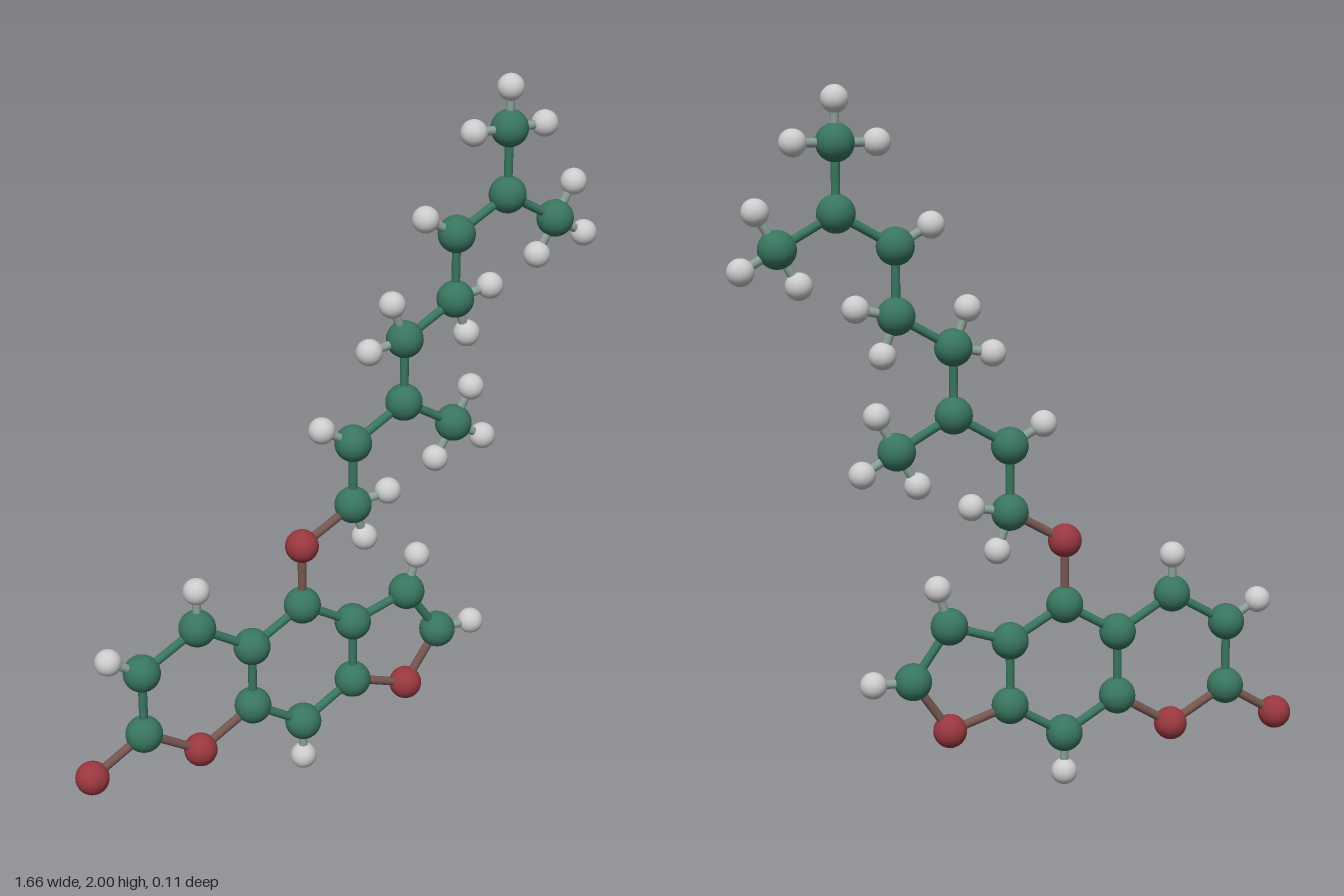
import * as THREE from 'three';

const paint = (color) => new THREE.MeshStandardMaterial({ color });
const KINDS = {
  carbon: { radius: 0.053, material: paint(0x38755f) },
  oxygen: { radius: 0.048, material: paint(0x99373f) },
  hydrogen: { radius: 0.038, material: paint(0xcccccc) },
};
const BONDS = {
  carbon: paint(0x38755f),
  oxygen: paint(0x75564f),
  hydrogen: paint(0x8a9f96),
};
const BOND_RADIUS = 0.0125;
const HYDROGEN_REACH = 0.115;

// Heavy atoms: x, y in the plane z = 0
const ATOMS = [
  [-0.624, 0.25], [-0.624, 0.443], [-0.452, 0.541], [-0.284, 0.441], [-0.284, 0.251], // 0-4 left ring
  [-0.452, 0.151], [-0.785, 0.153],                                                  // 5-6 oxygens
  [-0.122, 0.534], [0.042, 0.441], [0.042, 0.251], [-0.122, 0.154],                  // 7-10 middle ring
  [0.221, 0.497], [0.328, 0.346], [0.221, 0.193],                                    // 11-13 right ring
  [-0.122, 0.721], [0.042, 0.814], [0.042, 1.003], [0.205, 1.097], [0.369, 1.003],   // 14-18 lower chain
  [0.205, 1.286], [0.367, 1.378], [0.367, 1.568], [0.53, 1.659], [0.53, 1.848],      // 19-23 upper chain
  [0.692, 1.567],                                                                    // 24 end branch
];
const OXYGENS = [5, 6, 13, 14];

// Runs of bonded atoms
const PATHS = [
  [0, 1, 2, 3, 4, 5, 0, 6],
  [3, 7, 8, 9, 10, 4],
  [8, 11, 12, 13, 9],
  [7, 14, 15, 16, 17, 19, 20, 21, 22, 23],
  [17, 18],
  [22, 24],
];

// Hydrogens: carbon index -> directions in degrees
const HYDROGENS = {
  1: [149], 2: [90], 10: [-90], 11: [73], 12: [0],
  15: [10, -71], 16: [150], 18: [61, -31, 239],
  19: [111, 190], 20: [11, -70], 21: [151],
  23: [0, 90, 180], 24: [60, -30, 240],
};

export function createModel() {
  const model = new THREE.Group();
  model.name = 'molecule';
  const atoms = new THREE.Group();
  atoms.name = 'atoms';
  const bonds = new THREE.Group();
  bonds.name = 'bonds';
  model.add(atoms, bonds);

  const ball = new THREE.SphereGeometry(1, 32, 20);
  const rod = new THREE.CylinderGeometry(BOND_RADIUS, BOND_RADIUS, 1, 16);

  const addAtom = (kind, position) => {
    const mesh = new THREE.Mesh(ball, KINDS[kind].material);
    mesh.name = kind + 'Atom';
    mesh.position.copy(position);
    mesh.scale.setScalar(KINDS[kind].radius);
    atoms.add(mesh);
  };

  const addBond = (kind, from, to) => {
    const span = to.clone().sub(from);
    const mesh = new THREE.Mesh(rod, BONDS[kind]);
    mesh.name = kind + 'Bond';
    mesh.position.copy(from).addScaledVector(span, 0.5);
    mesh.scale.y = span.length();
    mesh.quaternion.setFromUnitVectors(new THREE.Vector3(0, 1, 0), span.normalize());
    bonds.add(mesh);
  };

  // Rings and chain
  const points = ATOMS.map(([x, y]) => new THREE.Vector3(x, y, 0));
  const kindOf = (i) => (OXYGENS.includes(i) ? 'oxygen' : 'carbon');
  points.forEach((p, i) => addAtom(kindOf(i), p));
  for (const path of PATHS) {
    for (let k = 1; k < path.length; k++) {
      const [a, b] = [path[k - 1], path[k]];
      const kind = [a, b].some((i) => OXYGENS.includes(i)) ? 'oxygen' : 'carbon';
      addBond(kind, points[a], points[b]);
    }
  }

  // Hydrogens around their carbons
  for (const [index, angles] of Object.entries(HYDROGENS)) {
    for (const degrees of angles) {
      const a = THREE.MathUtils.degToRad(degrees);
      const base = points[index];
      const tip = new THREE.Vector3(Math.cos(a), Math.sin(a), 0).multiplyScalar(HYDROGEN_REACH).add(base);
      addAtom('hydrogen', tip);
      addBond('hydrogen', base, tip);
    }
  }
  return model;
}
